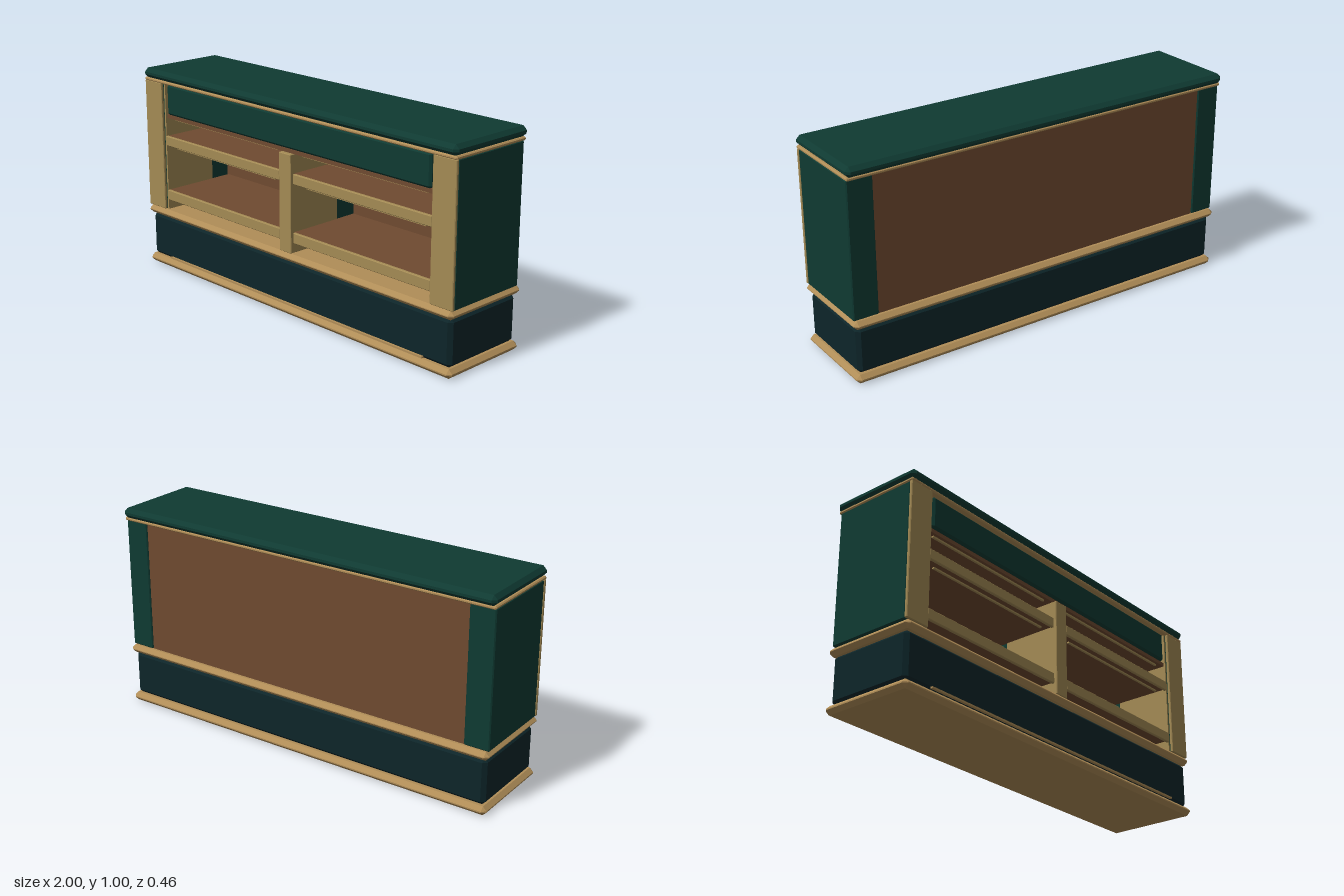
import * as THREE from 'three';
import { ConvexGeometry } from 'three/addons/geometries/ConvexGeometry.js';

const material = (name, color) => {
  const m = new THREE.MeshStandardMaterial({ color });
  m.name = name;
  return m;
};

// Box with cut edges, given its limits on each axis
function chamferedBox(x0, x1, y0, y1, z0, z1, c) {
  const h = [(x1 - x0) / 2, (y1 - y0) / 2, (z1 - z0) / 2];
  const points = [];
  for (const sx of [-1, 1]) for (const sy of [-1, 1]) for (const sz of [-1, 1]) {
    for (let axis = 0; axis < 3; axis++) {
      const s = [sx, sy, sz];
      points.push(new THREE.Vector3(...h.map((v, i) => s[i] * (i === axis ? v : v - c))));
    }
  }
  return new ConvexGeometry(points);
}

export function createModel() {
  const green = material('dark green paint', 0x0f3a32);
  const navy = material('dark blue plinth', 0x0d2529);
  const brass = material('brass trim', 0xb08d57);
  const tan = material('tan wood', 0xa38a54);
  const brown = material('brown wood', 0x6f4a30);
  const model = new THREE.Group();
  model.name = 'counter';

  function add(name, mat, x0, x1, y0, y1, z0, z1, c = 0) {
    const geometry = c > 0
      ? chamferedBox(x0, x1, y0, y1, z0, z1, c)
      : new THREE.BoxGeometry(x1 - x0, y1 - y0, z1 - z0);
    const mesh = new THREE.Mesh(geometry, mat);
    mesh.name = name;
    mesh.position.set((x0 + x1) / 2, (y0 + y1) / 2, (z0 + z1) / 2);
    model.add(mesh);
  }

  // Same part on both sides of x = 0
  function pair(name, mat, x0, x1, ...rest) {
    add(name + 'Left', mat, x0, x1, ...rest);
    add(name + 'Right', mat, -x1, -x0, ...rest);
  }

  // Plinth between two mouldings
  add('baseTrim', brass, -1, 1, 0, 0.042, -0.23, 0.23, 0.018);
  add('plinth', navy, -0.985, 0.985, 0.04, 0.262, -0.212, 0.212, 0.018);
  add('plinthStrip', brass, -0.84, 0.84, 0.048, 0.056, 0.21, 0.222);
  add('middleTrim', brass, -1, 1, 0.26, 0.3, -0.23, 0.23, 0.018);

  // Top slab on a thin moulding
  add('topTrim', brass, -0.997, 0.997, 0.938, 0.954, -0.217, 0.222, 0.005);
  add('top', green, -1, 1, 0.952, 1, -0.23, 0.23, 0.018);

  // End piers with front facings and inner linings
  pair('pier', green, 0.872, 0.995, 0.3, 0.94, -0.207, 0.206, 0.005);
  pair('pierFacing', tan, 0.872, 0.997, 0.302, 0.94, 0.205, 0.22, 0.003);
  pair('pierLining', tan, 0.864, 0.873, 0.3, 0.94, -0.08, 0.203);

  // Back panel and front apron
  add('backPanel', brown, -0.873, 0.873, 0.3, 0.94, -0.2, -0.188);
  add('apron', green, -0.85, 0.85, 0.785, 0.936, 0.16, 0.206, 0.01);
  add('upperBoard', brown, -0.865, 0.865, 0.765, 0.783, -0.19, 0.195);
  add('apronBacking', brown, -0.865, 0.865, 0.783, 0.94, 0.15, 0.17);

  // Central divider
  add('divider', tan, -0.038, 0.038, 0.3, 0.765, -0.08, 0.216, 0.003);
  add('dividerBack', green, -0.036, 0.036, 0.3, 0.765, -0.19, -0.078);

  // Shelves with front edging, and slim strips beneath
  for (const [name, y0, y1] of [['lowerShelf', 0.35, 0.4], ['upperShelf', 0.628, 0.676]]) {
    pair(name, brown, 0.036, 0.866, y0 + 0.01, y1 - 0.001, -0.19, 0.195);
    pair(name + 'Edge', tan, 0.044, 0.864, y0, y1, 0.192, 0.208, 0.003);
  }
  pair('upperShelfStrip', tan, 0.1, 0.81, 0.613, 0.62, 0.17, 0.18);
  pair('upperBoardStrip', tan, 0.08, 0.82, 0.757, 0.765, 0.17, 0.18);

  return model;
}
